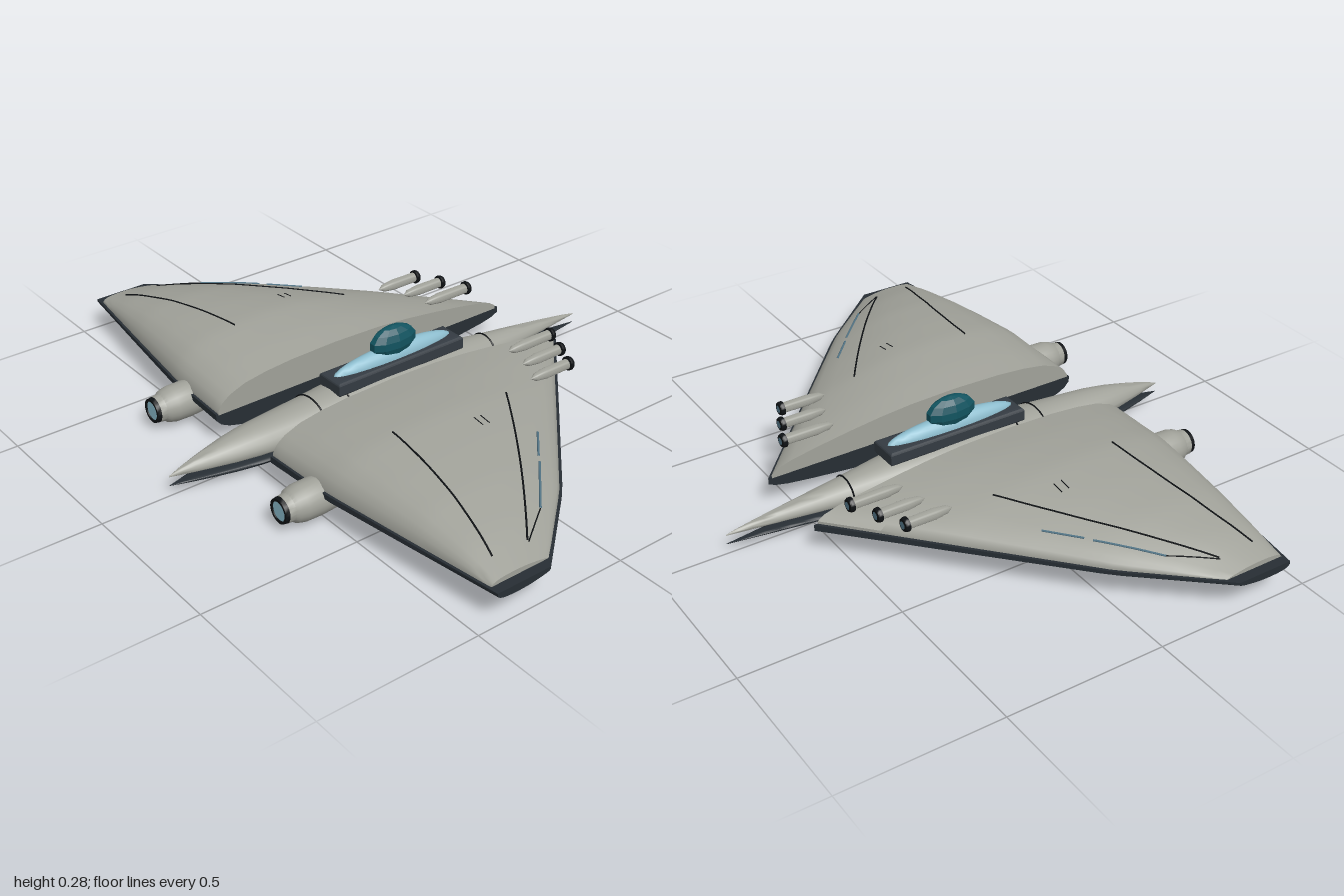
import * as THREE from 'three';
import { toCreasedNormals } from 'three/addons/utils/BufferGeometryUtils.js';

const paint = (name, color) => Object.assign(new THREE.MeshStandardMaterial({ color }), { name });

// Linear lookup in a short table of [position, value] pairs
function lookup(table, v) {
  if (v <= table[0][0]) return table[0][1];
  for (let i = 1; i < table.length; i++) {
    const [a, va] = table[i - 1], [b, vb] = table[i];
    if (v <= b) return va + (vb - va) * (v - a) / (b - a);
  }
  return table[table.length - 1][1];
}

// Closed skin over equal-length loops, capped at both ends
function loft(loops, crease = 0.7) {
  const n = loops[0].length, pos = [], idx = [];
  loops.forEach(l => l.forEach(p => pos.push(p.x, p.y, p.z)));
  for (let s = 0; s < loops.length - 1; s++) for (let i = 0; i < n; i++) {
    const a = s * n + i, b = s * n + (i + 1) % n;
    idx.push(a, b, b + n, a, b + n, a + n);
  }
  [0, loops.length - 1].forEach(s => {
    const c = new THREE.Vector3();
    loops[s].forEach(p => c.addScaledVector(p, 1 / n));
    const k = pos.length / 3;
    pos.push(c.x, c.y, c.z);
    for (let i = 0; i < n; i++) {
      const a = s * n + i, b = s * n + (i + 1) % n;
      if (s) idx.push(k, a, b); else idx.push(k, b, a);
    }
  });
  const g = new THREE.BufferGeometry();
  g.setAttribute('position', new THREE.Float32BufferAttribute(pos, 3));
  g.setIndex(idx);
  return toCreasedNormals(g, crease);
}

// Wing plan and section rules, by distance from the centre line
const REAR = [[0.14, -0.57], [0.45, -0.29], [0.77, 0], [1, 0.26]];
const FRONT = [[0.14, 0.53], [0.39, 0.52], [0.7, 0.48], [1, 0.44]];
const RISE = [[0.14, 0.1], [0.25, 0.112], [0.4, 0.12], [0.55, 0.108], [0.7, 0.09], [0.85, 0.058], [0.97, 0.02]];
const DEPTH = [[0.14, 0.08], [1, 0.02]];
const CAMBER = [[0, 0], [0.02, 0.17], [0.06, 0.32], [0.14, 0.5], [0.25, 0.7], [0.35, 0.85], [0.45, 0.95],
  [0.6, 1], [0.75, 0.96], [0.84, 0.87], [0.91, 0.73], [0.96, 0.5], [0.985, 0.28], [1, 0]];
const RIM = 0.1;
const topY = (x, z) => {
  const a = lookup(REAR, x) + 0.012, b = lookup(FRONT, x) - 0.008;
  return RIM + lookup(RISE, x) * (0.12 + 0.88 * lookup(CAMBER, (z - a) / (b - a)));
};

function wingShell(side, upper) {
  const loops = [], end = upper ? 0.97 : 1, steps = 24;
  for (let s = 0; s <= steps; s++) {
    const x = 0.14 + (end - 0.14) * s / steps;
    const a = lookup(REAR, x) + (upper ? 0.012 : 0), b = lookup(FRONT, x) - (upper ? 0.008 : 0);
    const curve = CAMBER.map(([t, f]) => {
      const y = upper ? RIM + lookup(RISE, x) * (0.12 + 0.88 * f) : RIM - lookup(DEPTH, x) * (0.2 + 0.8 * f);
      return new THREE.Vector3(side * x, y, a + (b - a) * t);
    });
    const flat = [a, b].map(z => new THREE.Vector3(side * x, RIM + (upper ? 0 : 0.004), z));
    const loop = upper ? [...curve, flat[1], flat[0]] : [flat[0], flat[1], ...curve.reverse()];
    loops.push(side > 0 ? loop : loop.reverse());
  }
  return loft(loops);
}

// Fuselage half width along z
const WIDTH = [[-0.78, 0.001], [-0.6, 0.026], [-0.39, 0.056], [-0.2, 0.088], [-0.08, 0.104], [0.05, 0.109],
  [0.18, 0.1], [0.3, 0.086], [0.5, 0.068], [0.58, 0.054], [0.68, 0.029], [0.78, 0.001]];
function hullPoint(z, angle, yc, up, down, extra = 0) {
  const w = lookup(WIDTH, z), k = Math.pow(w / 0.109, 0.75), s = Math.sin(angle);
  return new THREE.Vector3(Math.cos(angle) * (w + extra), yc + s * ((s > 0 ? up : down) * k + extra), z);
}
function hull(yc, up, down) {
  const loops = [];
  for (let s = 0; s <= 40; s++) {
    const z = -0.78 + 1.56 * s / 40;
    loops.push(Array.from({ length: 24 }, (_, i) => hullPoint(z, i / 24 * Math.PI * 2, yc, up, down)));
  }
  return loft(loops, 1);
}

export function createModel() {
  const model = new THREE.Group();
  const grey = paint('hull grey', 0xa1a29a), dark = paint('underside slate', 0x272e34),
    black = paint('line black', 0x0e1114), steel = paint('trim steel', 0x343b42),
    glass = paint('canopy blue', 0x8cbccd), teal = paint('dome teal', 0x125460), stripe = paint('stripe blue', 0x55788a);
  const add = (name, geo, mat, x = 0, y = 0, z = 0, parent = model) => {
    const m = new THREE.Mesh(geo, mat);
    m.name = name;
    m.position.set(x, y, z);
    parent.add(m);
    return m;
  };
  const line = (name, pts, mat, parent = model, r = 0.0028) =>
    add(name, new THREE.TubeGeometry(new THREE.CatmullRomCurve3(pts), 28, r, 5), mat, 0, 0, 0, parent);
  const lathe = pts => toCreasedNormals(
    new THREE.LatheGeometry(pts.map(p => new THREE.Vector2(...p)), 24).rotateX(Math.PI / 2), 0.6);

  // Fuselage with seams
  add('fuselageTop', hull(0.065, 0.088, 0.022), grey);
  add('fuselageBottom', hull(0.036, 0.016, 0.034), dark);
  for (const z of [-0.39, 0.19, 0.29]) {
    line('fuselageSeam', Array.from({ length: 13 }, (_, i) =>
      hullPoint(z, (0.1 + 0.8 * i / 12) * Math.PI, 0.065, 0.088, 0.022, 0.001)), black);
  }

  // Cockpit
  const w = 0.035, l = 0.225, rim = new THREE.Shape();
  rim.moveTo(-w, -l).lineTo(w, -l).lineTo(w, l).lineTo(-w, l).closePath();
  const frame = new THREE.ExtrudeGeometry(rim, { depth: 0.03, bevelSize: 0.014, bevelThickness: 0.008, bevelSegments: 3 });
  add('cockpitFrame', frame.rotateX(-Math.PI / 2), steel, 0, 0.142, -0.02);
  add('canopy', new THREE.SphereGeometry(1, 24, 14).scale(0.034, 0.042, 0.225), glass, 0, 0.175, -0.02);
  const dome = new THREE.SphereGeometry(1, 10, 7).scale(0.037, 0.052, 0.085).toNonIndexed();
  dome.computeVertexNormals();
  add('canopyDome', dome, teal, 0, 0.228, -0.02);

  for (const side of [1, -1]) {
    // Wing shells
    const wing = new THREE.Group();
    wing.name = side > 0 ? 'leftWing' : 'rightWing';
    model.add(wing);
    add('wingTop', wingShell(side, true), grey, 0, 0, 0, wing);
    add('wingBottom', wingShell(side, false), dark, 0, 0, 0, wing);

    // Lines laid on the upper skin, with a slight bow
    const onSkin = (name, x0, z0, x1, z1, bow, mat, r) => line(name, Array.from({ length: 15 }, (_, i) => {
      const t = i / 14, x = x0 + (x1 - x0) * t, z = z0 + (z1 - z0) * t + bow * 4 * t * (1 - t);
      return new THREE.Vector3(side * x, topY(x, z) + 0.001, z);
    }), mat, wing, r);
    onSkin('rearPanelLine', 0.39, -0.13, 0.91, 0.26, -0.012, black);
    onSkin('frontPanelLine', 0.39, 0.29, 0.91, 0.38, -0.014, black);
    onSkin('wingStripe', 0.57, -0.09, 0.66, -0.01, 0, stripe, 0.0035);
    onSkin('wingStripe', 0.68, 0.005, 0.83, 0.14, 0, stripe, 0.0035);
    onSkin('outerPanelLine', 0.83, 0.14, 0.915, 0.26, 0, black, 0.002);
    for (const z of [0.03, 0.055]) onSkin('vent', 0.46, z, 0.5, z, 0, black, 0.0015);

    // Engine pod, nozzle and glow
    const pod = new THREE.Group();
    pod.name = 'engine';
    pod.position.set(side * 0.33, 0.068, 0);
    model.add(pod);
    add('enginePod', lathe([[0, 0.28], [0.022, 0.31], [0.04, 0.37], [0.052, 0.45], [0.057, 0.52], [0.056, 0.57],
      [0.05, 0.595], [0.042, 0.605], [0.04, 0.625], [0, 0.625]].reverse().map(([r, z]) => [r, z]).reverse()), grey, 0, 0, 0, pod);
    add('nozzleRing', lathe([[0.036, 0.62], [0.04, 0.625], [0.038, 0.638], [0.03, 0.638], [0.03, 0.62]]), black, 0, 0, 0, pod);
    add('engineGlow', new THREE.CircleGeometry(0.031, 24), glass, 0, 0, 0.634, pod);

    // Three guns along the rear edge
    [[0.2, -0.49, -0.31], [0.285, -0.45, -0.29], [0.365, -0.41, -0.25]].forEach(([x, tip, root]) => {
      const gun = new THREE.Group();
      gun.name = 'gun';
      gun.position.set(side * x, 0.176, 0);
      model.add(gun);
      add('gunBarrel', lathe([[0, tip], [0.016, tip], [0.017, root - 0.06], [0.012, root - 0.02], [0, root]]), grey, 0, 0, 0, gun);
      add('gunMuzzle', lathe([[0, tip - 0.002], [0.019, tip - 0.002], [0.022, tip + 0.004], [0.022, tip + 0.012], [0.016, tip + 0.014]]), black, 0, 0, 0, gun);
      add('gunBore', new THREE.CircleGeometry(0.012, 16).rotateY(Math.PI), stripe, 0, 0, tip - 0.004, gun);
    });
  }
  return model;
}
